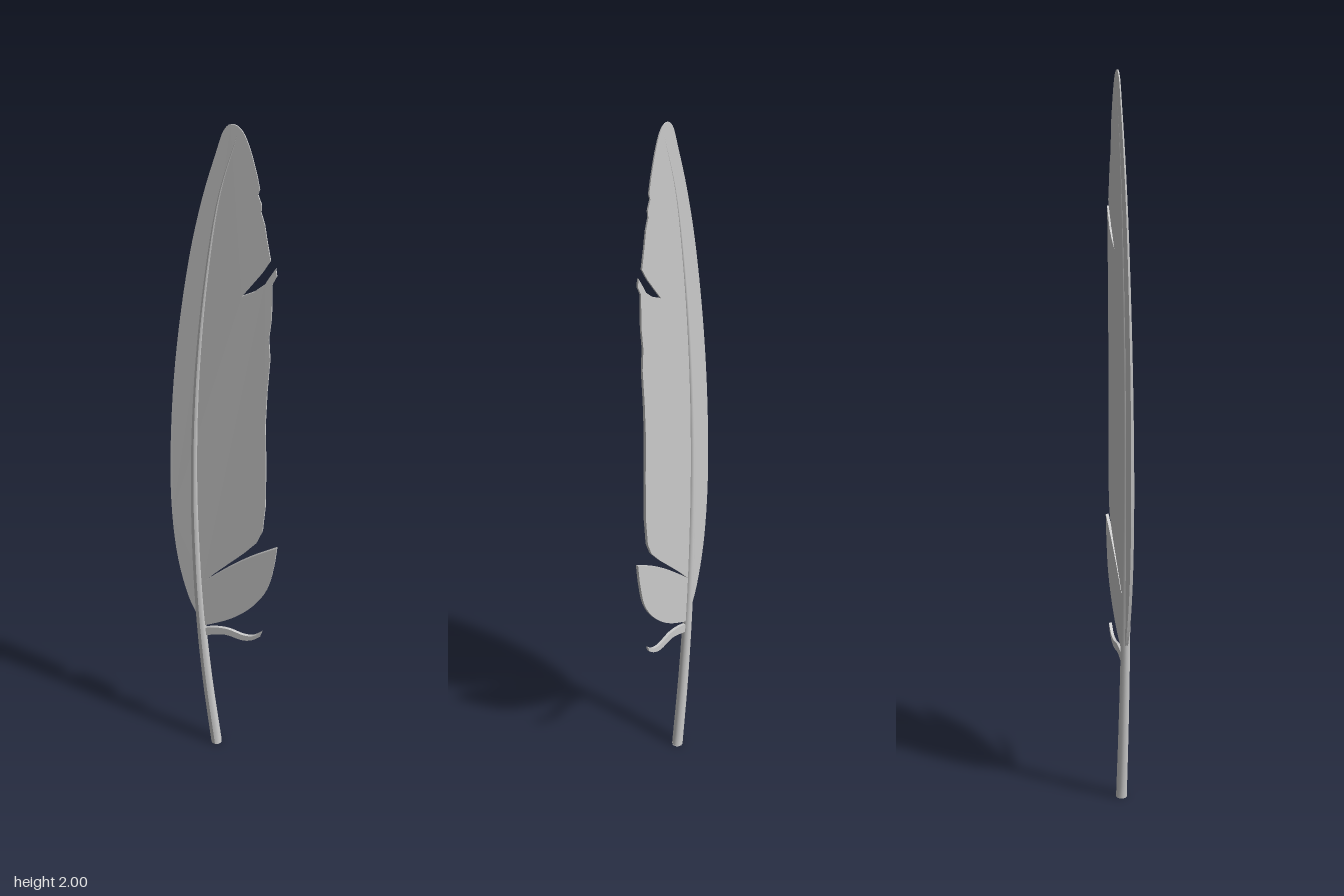
import * as THREE from 'three';

const material = new THREE.MeshStandardMaterial({ color: 0xcccccc, side: THREE.DoubleSide });

// Thin plate from an outline, thinning towards the tip of the feather
function plate(name, points) {
  const shape = new THREE.Shape(points.map(([x, y]) => new THREE.Vector2(x, y)));
  const geometry = new THREE.ExtrudeGeometry(shape, { depth: 1, bevelEnabled: false });
  const pos = geometry.attributes.position;
  for (let i = 0; i < pos.count; i++) {
    const half = THREE.MathUtils.mapLinear(Math.max(pos.getY(i), 1), 1, 2, 0.004, 0.0015);
    pos.setZ(i, (pos.getZ(i) - 0.5) * 2 * half);
  }
  geometry.computeVertexNormals();
  const mesh = new THREE.Mesh(geometry, material);
  mesh.name = name;
  return mesh;
}

// Smooth run of points through a few control points
const smooth = (points, n) => new THREE.SplineCurve(points.map(([x, y]) => new THREE.Vector2(x, y)))
  .getPoints(n).map((p) => [p.x, p.y]);

// Curved shaft, round in section and tapering to the tip
function makeQuill() {
  const curve = new THREE.CatmullRomCurve3([
    [-0.025, 0], [-0.052, 0.25], [-0.071, 0.5], [-0.081, 0.75], [-0.083, 1], [-0.072, 1.3],
    [-0.045, 1.6], [-0.012, 1.82], [0.033, 1.985],
  ].map(([x, y]) => new THREE.Vector3(x, y, 0)));
  const rings = 48, sides = 12;
  const geometry = new THREE.TubeGeometry(curve, rings, 1, sides, false);
  const pos = geometry.attributes.position;
  const v = new THREE.Vector3();
  for (let i = 0; i <= rings; i++) {
    const t = i / rings;
    const centre = curve.getPointAt(t);
    const radius = 0.0155 - 0.0095 * t - 0.0045 * t * t;
    for (let j = 0; j <= sides; j++) {
      const k = i * (sides + 1) + j;
      v.fromBufferAttribute(pos, k).sub(centre).multiplyScalar(radius).add(centre);
      pos.setXYZ(k, v.x, Math.max(v.y, 0), v.z);
    }
  }
  geometry.computeVertexNormals();
  const quill = new THREE.Mesh(geometry, material);
  quill.name = 'quill';

  // Flat foot of the shaft
  const foot = new THREE.Mesh(new THREE.CircleGeometry(0.0155, sides), material);
  foot.rotation.x = Math.PI / 2;
  foot.position.set(-0.025, 0.0005, 0);
  foot.name = 'quillFoot';
  return [quill, foot];
}

export function createModel() {
  const group = new THREE.Group();
  group.name = 'feather';

  // Main vane: smooth leading edge, ragged trailing edge with a split near the tip
  const leading = smooth([
    [-0.075, 0.48], [-0.105, 0.555], [-0.132, 0.68], [-0.146, 0.83], [-0.148, 1], [-0.138, 1.22],
    [-0.118, 1.43], [-0.088, 1.64], [-0.055, 1.8], [-0.022, 1.92], [-0.002, 1.983], [0.02, 2],
    [0.043, 1.985], [0.062, 1.94], [0.078, 1.88],
  ], 56);
  const trailing = [
    [0.085, 1.845], [0.081, 1.83], [0.09, 1.805], [0.089, 1.785], [0.098, 1.755], [0.105, 1.71],
    [0.114, 1.66], [0.095, 1.625], [0.068, 1.585], [0.044, 1.55],
    [0.075, 1.568], [0.1, 1.592], [0.112, 1.615], [0.127, 1.642], [0.13, 1.62], [0.119, 1.595],
    [0.119, 1.5], [0.113, 1.44], [0.117, 1.38], [0.111, 1.28], [0.108, 1.18], [0.111, 1.05],
    [0.112, 0.92], [0.105, 0.83], [0.09, 0.79], [0.055, 0.745], [0.01, 0.695], [-0.03, 0.65],
    [-0.062, 0.61], [-0.075, 0.58],
  ];
  group.add(plate('mainVane', [...leading, ...trailing]));

  // Separated lower tuft
  const tuftTop = smooth([[-0.076, 0.595], [-0.04, 0.632], [0.02, 0.69], [0.08, 0.74], [0.146, 0.785]], 16);
  const tuftBottom = smooth([[0.14, 0.725], [0.122, 0.635], [0.08, 0.56], [0.02, 0.5], [-0.055, 0.455], [-0.07, 0.45]], 20);
  group.add(plate('lowerTuft', [...tuftTop, ...tuftBottom]));

  // Small curled barb below the tuft
  const barbTop = smooth([[-0.065, 0.44], [-0.03, 0.453], [0.01, 0.457], [0.055, 0.447], [0.085, 0.452], [0.109, 0.473]], 20);
  const barbBottom = smooth([[0.104, 0.455], [0.08, 0.435], [0.05, 0.427], [0, 0.434], [-0.06, 0.415]], 20);
  group.add(plate('curledBarb', [...barbTop, ...barbBottom]));

  group.add(...makeQuill());
  return group;
}
